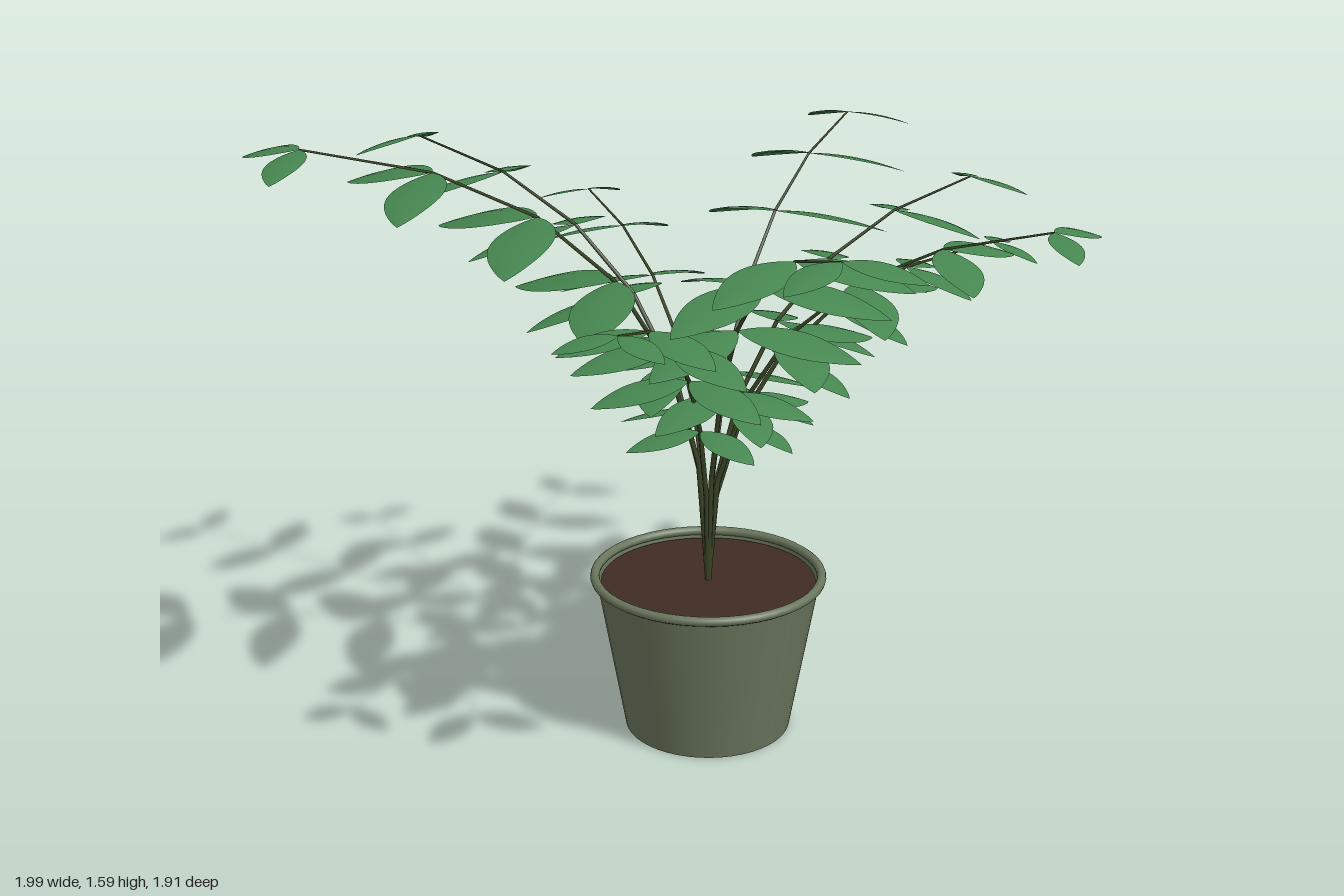
import * as THREE from 'three';

const mat = (color, side = THREE.FrontSide) => new THREE.MeshStandardMaterial({ color, side });

// Pointed oval leaf of unit length along +x, drooping to the tip, cambered across
function leafGeometry() {
  const g = new THREE.PlaneGeometry(1, 1, 14, 4);
  const p = g.attributes.position;
  for (let i = 0; i < p.count; i++) {
    const u = p.getX(i) + 0.5;
    const v = p.getY(i) * 2;
    const half = 0.235 * Math.pow(Math.max(Math.sin(Math.PI * Math.pow(u, 0.93)), 0), 0.85);
    p.setXYZ(i, u, -0.21 * Math.pow(u, 1.9) - 0.1 * half * v * v, -v * half);
  }
  g.computeVertexNormals();
  return g;
}

// Straight tapered rod from a to b
function rodGeometry(a, b, ra, rb) {
  const d = b.clone().sub(a);
  const q = new THREE.Quaternion().setFromUnitVectors(new THREE.Vector3(0, 1, 0), d.clone().normalize());
  return new THREE.CylinderGeometry(rb, ra, d.length(), 6)
    .applyQuaternion(q)
    .translate(...a.clone().add(b).multiplyScalar(0.5).toArray());
}

export function createModel() {
  const model = new THREE.Group();
  const plant = new THREE.Group();
  plant.name = 'pottedPlant';
  plant.position.set(0.1, 0, -0.022);
  model.add(plant);

  const add = (parent, name, geometry, material) => {
    const m = new THREE.Mesh(geometry, material);
    m.name = name;
    parent.add(m);
    return m;
  };

  // Pot, rim and soil
  const potMat = mat(0x6a765d);
  const soilY = 0.4;
  add(plant, 'pot', new THREE.CylinderGeometry(0.288, 0.215, 0.415, 48, 1, true).translate(0, 0.2075, 0),
    mat(0x6a765d, THREE.DoubleSide));
  add(plant, 'potBase', new THREE.CircleGeometry(0.215, 48).rotateX(Math.PI / 2), potMat);
  add(plant, 'rim', new THREE.TorusGeometry(0.291, 0.012, 10, 48).rotateX(Math.PI / 2).translate(0, 0.415, 0), potMat);
  add(plant, 'soil', new THREE.CylinderGeometry(0.276, 0.272, 0.03, 48).translate(0, soilY - 0.015, 0), mat(0x402b23));

  // Arching stems [reach, tip height], spaced by the golden angle
  const stems = [
    [0.80, 1.36], [0.72, 1.26], [0.725, 1.275], [0.83, 1.385], [0.975, 1.585],
    [0.885, 1.46], [0.885, 1.46], [0.88, 1.46], [0.72, 1.255],
  ];
  // Leaf length, relative to reach, at each joint after the first
  const leafSizes = [0.26, 0.335, 0.335, 0.293, 0.2];
  const joints = 6;
  const stemMat = mat(0x3a4526);
  const leafMat = mat(0x468650, THREE.DoubleSide);
  const leafGeo = leafGeometry();

  stems.forEach(([reach, tip], i) => {
    const branch = new THREE.Group();
    branch.name = 'branch' + (i + 1);
    branch.rotation.y = -THREE.MathUtils.degToRad(i * 137.5);
    plant.add(branch);

    // Straight lengths of stem between the joints
    const points = new THREE.QuadraticBezierCurve3(
      new THREE.Vector3(0, soilY, 0),
      new THREE.Vector3(0, soilY + (tip - soilY) * 0.875, 0),
      new THREE.Vector3(reach, tip, 0)).getPoints(joints);
    const radius = (j) => 0.008 - 0.0055 * j / joints;
    for (let j = 0; j < joints; j++) {
      add(branch, 'stem', rodGeometry(points[j], points[j + 1], radius(j), radius(j + 1)), stemMat);
    }

    // Leaf pairs, outer edges rolled down
    leafSizes.forEach((size, k) => {
      for (const side of [-1, 1]) {
        const leaf = add(branch, 'leaf', leafGeo, leafMat);
        leaf.position.copy(points[k + 2]);
        leaf.rotation.set(side * 0.14, side * THREE.MathUtils.degToRad(58), 0, 'YXZ');
        leaf.scale.setScalar(size * reach);
      }
    });
  });
  return model;
}
